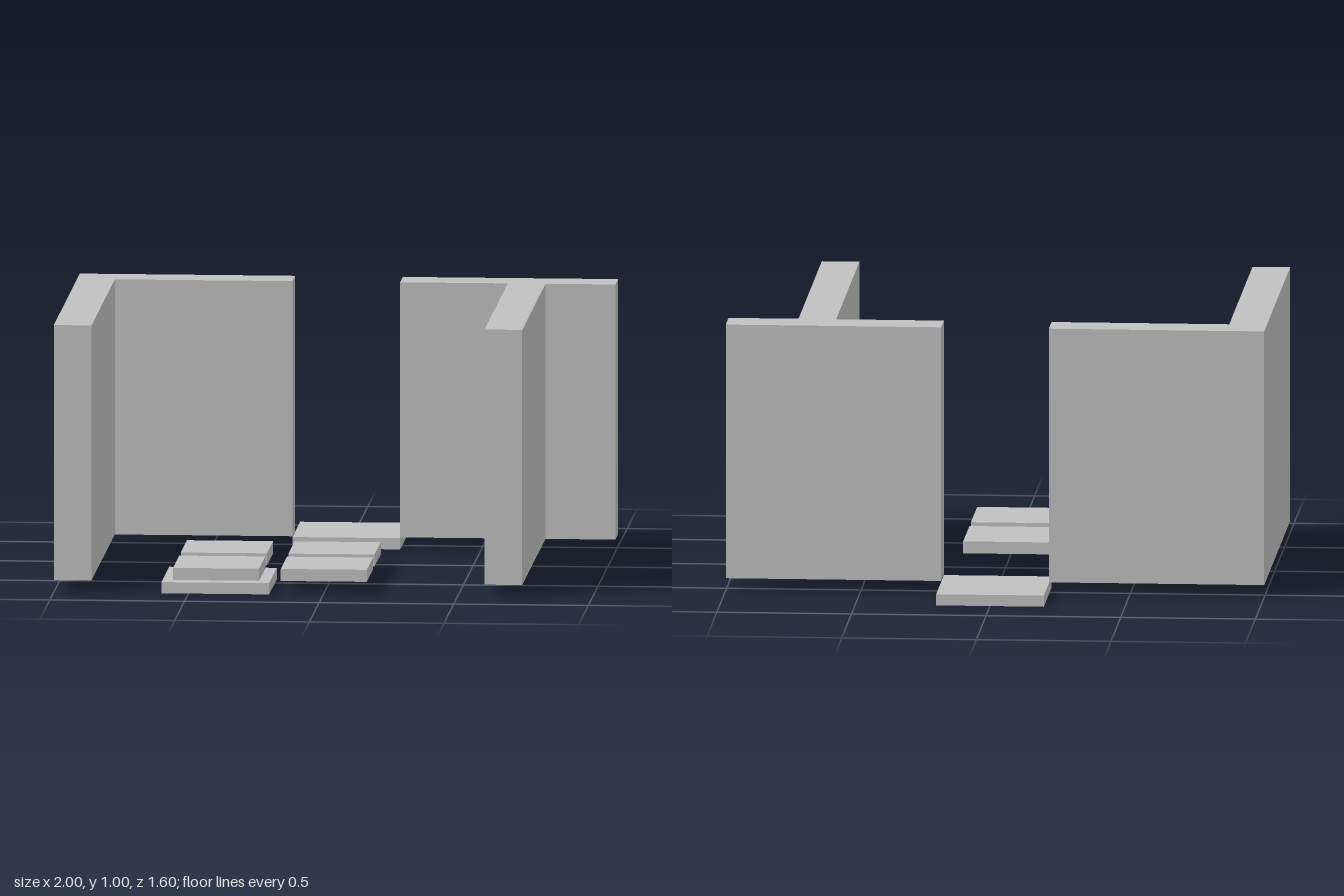
import * as THREE from 'three';

const WALL_BASE = 0.045;

export function createModel() {
  const group = new THREE.Group();
  const grey = new THREE.MeshStandardMaterial({ color: 0xc0c0c0 });
  grey.name = 'light grey';

  // Wall standing on a floor-plan outline of [x, z] points
  const wall = (name, plan) => {
    const shape = new THREE.Shape(plan.map(([x, z]) => new THREE.Vector2(x, -z)));
    const geometry = new THREE.ExtrudeGeometry(shape, { depth: 1 - WALL_BASE, bevelEnabled: false });
    geometry.rotateX(-Math.PI / 2).translate(0, WALL_BASE, 0);
    const mesh = new THREE.Mesh(geometry, grey);
    mesh.name = name;
    group.add(mesh);
  };

  // Square slab centred at x, z between two heights
  const slab = (name, x, z, size, bottom, top) => {
    const mesh = new THREE.Mesh(new THREE.BoxGeometry(size, top - bottom, size), grey);
    mesh.position.set(x, (bottom + top) / 2, z);
    mesh.name = name;
    group.add(mesh);
  };

  // L-shaped corner wall and T-shaped wall, with a doorway between them
  wall('rightCornerWall', [
    [-1, 0.8], [-0.86, 0.8], [-0.86, -0.4], [-0.2, -0.4], [-0.2, -0.54], [-1, -0.54],
  ]);
  wall('leftTeeWall', [
    [0.6, 0.8], [0.74, 0.8], [0.74, -0.4], [1, -0.4],
    [1, -0.54], [0.2, -0.54], [0.2, -0.4], [0.6, -0.4],
  ]);

  // Thin floor slabs: one in the doorway, one under the front tile
  slab('doorwaySlab', 0, -0.6, 0.4, 0, 0.042);
  slab('frontSlab', -0.4, 0.6, 0.4, 0, 0.042);

  // Two by two raised floor tiles
  for (const x of [-0.4, 0])
    for (const z of [0.2, 0.6]) slab('floorTile', x, z, 0.32, WALL_BASE, 0.09);

  return group;
}
